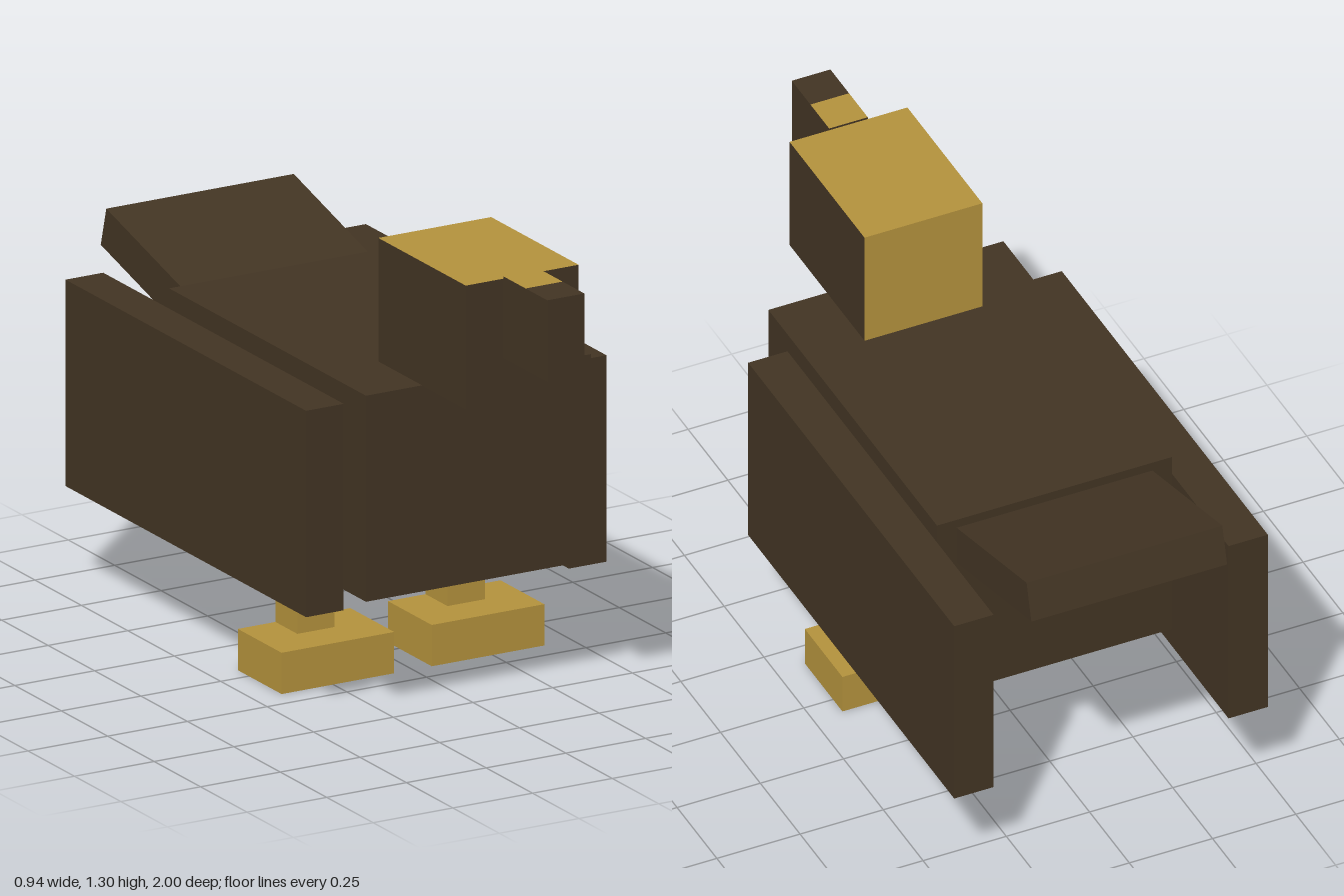
import * as THREE from 'three';

export function createModel() {
  const model = new THREE.Group();
  model.name = 'blockBird';

  const brown = new THREE.MeshStandardMaterial({ color: 0x423423 });
  brown.name = 'dark brown';
  const gold = new THREE.MeshStandardMaterial({ color: 0xb3913c });
  gold.name = 'ochre gold';

  // Box given by its minimum and maximum corners
  function block(name, material, min, max) {
    const size = max.map((v, i) => v - min[i]);
    const mesh = new THREE.Mesh(new THREE.BoxGeometry(...size), material);
    mesh.position.set(...max.map((v, i) => (v + min[i]) / 2));
    mesh.name = name;
    model.add(mesh);
    return mesh;
  }

  block('body', brown, [-0.353, 0.356, -0.53], [0.353, 0.945, 0.53]);

  // Head: gold crown and nape, brown face (order: +x, -x, +y, -y, +z, -z)
  block('head', [brown, brown, gold, brown, brown, gold],
    [-0.177, 0.945, 0.294], [0.177, 1.298, 0.765]);

  // Beak: gold ridge behind a brown tip
  block('beakBase', [brown, brown, gold, brown, brown, brown],
    [-0.058, 1.072, 0.765], [0.058, 1.304, 0.883]);
  block('beakTip', brown, [-0.058, 1.072, 0.883], [0.058, 1.304, 1]);

  // Tail tilted upward from the back of the body
  const tail = block('tail', brown, [-0.294, -0.058, -0.25], [0.294, 0.058, 0.25]);
  tail.position.set(0, 0.915, -0.743);
  tail.rotation.x = Math.PI / 12;

  // Mirrored wings, legs and feet
  for (const [side, s] of [['left', 1], ['right', -1]]) {
    const pair = (part, material, x0, x1, y0, y1, z0, z1) =>
      block(side + part, material,
        [Math.min(s * x0, s * x1), y0, z0], [Math.max(s * x0, s * x1), y1, z1]);
    pair('Wing', brown, 0.353, 0.471, 0.297, 0.887, -0.885, 0.41);
    pair('Leg', gold, 0.177, 0.294, 0.118, 0.356, -0.059, 0.059);
    pair('Foot', gold, 0.059, 0.412, 0, 0.118, -0.059, 0.177);
  }

  return model;
}
